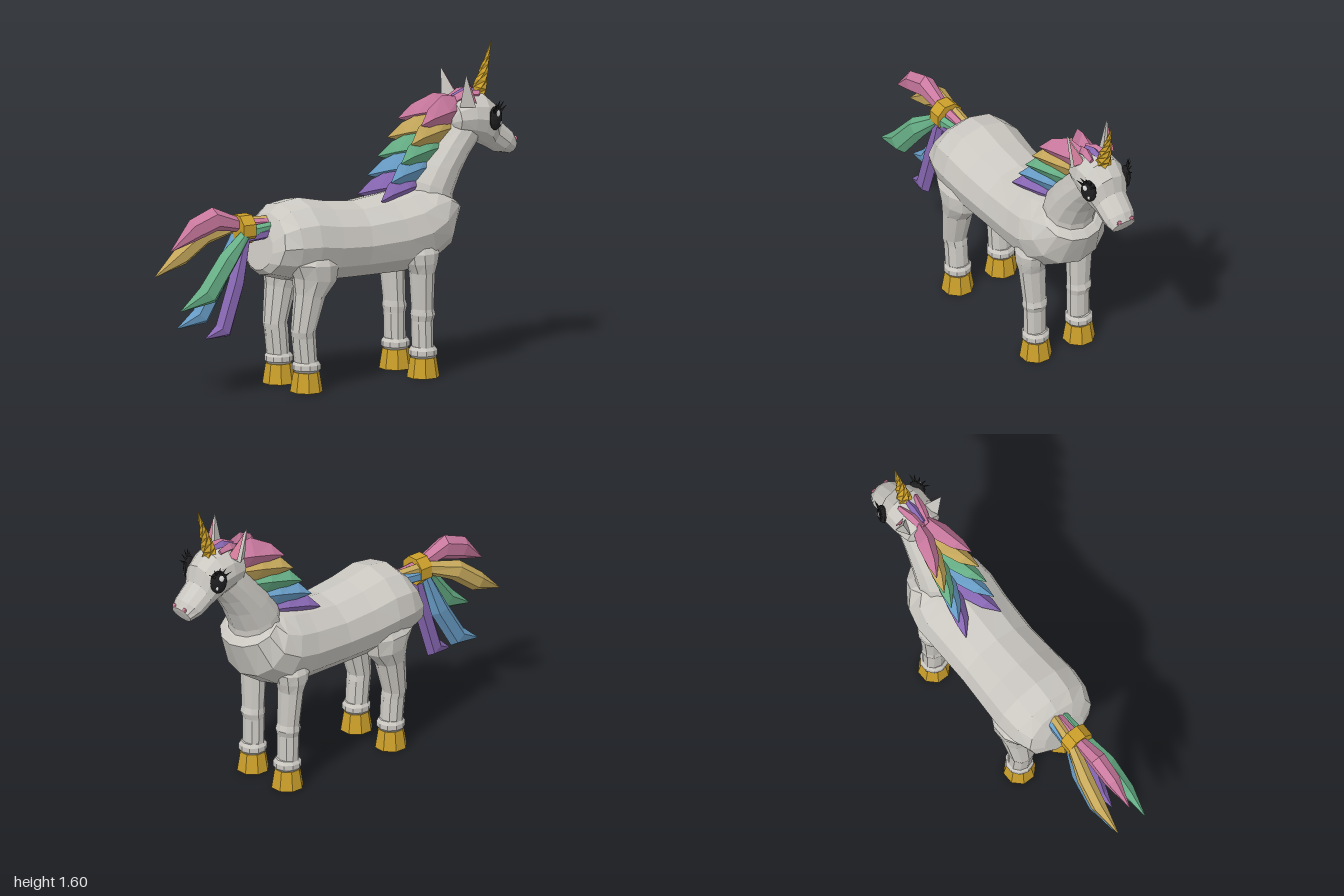
import * as THREE from 'three';

const material = (name, color, extra = {}) => {
  const m = new THREE.MeshStandardMaterial({ color, flatShading: true, ...extra });
  m.name = name;
  return m;
};

// Closed loft along z-symmetric sections: [topX, topY, bottomX, bottomY, halfWidth, centreZ]
function loft(rings, sides) {
  const at = (r, i) => {
    const [ax, ay, bx, by, w, z = 0] = r;
    const t = (i / sides) * Math.PI * 2, c = Math.cos(t);
    return new THREE.Vector3((ax + bx) / 2 + (ax - bx) / 2 * c, (ay + by) / 2 + (ay - by) / 2 * c, z + w * Math.sin(t));
  };
  const mid = ([ax, ay, bx, by, , z = 0]) => new THREE.Vector3((ax + bx) / 2, (ay + by) / 2, z);
  const tris = [];
  const first = rings[0], last = rings[rings.length - 1];
  for (let i = 0; i < sides; i++) {
    for (let k = 0; k < rings.length - 1; k++) {
      const a = at(rings[k], i), b = at(rings[k], i + 1), c = at(rings[k + 1], i + 1), d = at(rings[k + 1], i);
      tris.push([a, b, c], [a, c, d]);
    }
    tris.push([mid(first), at(first, i + 1), at(first, i)], [mid(last), at(last, i), at(last, i + 1)]);
  }
  return solid(tris);
}

// Triangle list to geometry, turned so that the faces look outwards
function solid(tris) {
  const o = tris[0][0];
  let volume = 0;
  for (const [a, b, c] of tris) {
    volume += a.clone().sub(o).dot(b.clone().sub(o).cross(c.clone().sub(o)));
  }
  const pts = tris.flatMap(([a, b, c]) => (volume < 0 ? [a, c, b] : [a, b, c]));
  const g = new THREE.BufferGeometry().setFromPoints(pts);
  g.computeVertexNormals();
  return g;
}

export function createModel() {
  const coat = material('coat grey', 0xcbc8c2);
  const gold = material('gold', 0xcb9f2a);
  const pink = material('hair pink', 0xcb7aa0);
  const yellow = material('hair yellow', 0xc8aa5c);
  const green = material('hair green', 0x68b188);
  const blue = material('hair blue', 0x6a9fc9);
  const purple = material('hair purple', 0x8a69b6);
  const black = material('eye black', 0x1e1e20, { side: THREE.DoubleSide });
  const white = material('eye white', 0xf0f0f0);
  const rose = material('inner ear rose', 0xd77f9c, { side: THREE.DoubleSide });

  const model = new THREE.Group();
  const add = (name, geometry, mat, parent = model) => {
    const mesh = new THREE.Mesh(geometry, mat);
    mesh.name = name;
    parent.add(mesh);
    return mesh;
  };

  // Barrel, from rump to chest
  add('body', loft([
    [-0.44, 0.80, -0.48, 0.60, 0.12], [-0.40, 0.875, -0.46, 0.575, 0.19],
    [-0.35, 0.92, -0.34, 0.54, 0.225], [-0.24, 0.935, -0.24, 0.52, 0.235],
    [-0.10, 0.905, -0.12, 0.51, 0.225], [0.07, 0.885, 0.05, 0.507, 0.215],
    [0.24, 0.905, 0.30, 0.505, 0.22], [0.33, 0.92, 0.46, 0.535, 0.228],
    [0.39, 0.925, 0.59, 0.62, 0.21], [0.42, 0.925, 0.66, 0.80, 0.16],
    [0.43, 0.925, 0.63, 0.835, 0.135],
  ], 12), coat);

  add('neck', loft([
    [0.37, 0.89, 0.62, 0.80, 0.135], [0.39, 0.96, 0.625, 0.87, 0.13],
    [0.45, 1.04, 0.67, 0.97, 0.12], [0.53, 1.13, 0.72, 1.05, 0.108],
    [0.62, 1.23, 0.78, 1.12, 0.095],
  ], 12), coat);

  add('head', loft([
    [0.61, 1.26, 0.62, 1.18, 0.06], [0.635, 1.32, 0.645, 1.15, 0.10],
    [0.72, 1.355, 0.72, 1.12, 0.118], [0.80, 1.35, 0.77, 1.10, 0.12],
    [0.87, 1.29, 0.80, 1.085, 0.112], [0.89, 1.21, 0.83, 1.07, 0.09],
    [0.97, 1.14, 0.88, 1.04, 0.083], [0.99, 1.10, 0.95, 1.025, 0.065],
    [0.985, 1.085, 0.96, 1.035, 0.04],
  ], 12), coat);

  // Twisted horn
  const hornShape = new THREE.ConeGeometry(0.042, 0.28, 6, 7).toNonIndexed();
  const p = hornShape.attributes.position, v = new THREE.Vector3(), up = new THREE.Vector3(0, 1, 0);
  for (let i = 0; i < p.count; i++) {
    v.fromBufferAttribute(p, i);
    v.applyAxisAngle(up, v.y * 14);
    p.setXYZ(i, v.x, v.y, v.z);
  }
  hornShape.computeVertexNormals();
  const horn = add('horn', hornShape, gold);
  horn.position.set(0.828, 1.461, 0);
  horn.rotation.z = -0.29;

  for (const s of [1, -1]) {
    const side = new THREE.Group();
    side.name = s > 0 ? 'nearSide' : 'farSide';
    model.add(side);
    const put = (name, geometry, mat) => add(name, geometry, mat, side);
    const P = (x, y, z) => new THREE.Vector3(x, y, z * s);

    // Legs, with fetlock rings and hooves
    const z = 0.127 * s;
    put('frontLeg', loft([
      [0.45, 0.66, 0.31, 0.66, 0.06, 0.14 * s], [0.47, 0.62, 0.29, 0.62, 0.08, 0.142 * s],
      [0.46, 0.57, 0.30, 0.57, 0.078, 0.142 * s], [0.445, 0.52, 0.325, 0.52, 0.072, 0.138 * s],
      [0.445, 0.34, 0.34, 0.34, 0.062, 0.13 * s], [0.455, 0.31, 0.335, 0.31, 0.066, 0.13 * s],
      [0.445, 0.28, 0.34, 0.28, 0.06, z], [0.445, 0.10, 0.345, 0.10, 0.06, z],
    ], 10), coat);
    put('rearLeg', loft([
      [-0.13, 0.67, -0.32, 0.67, 0.07, 0.14 * s], [-0.10, 0.62, -0.38, 0.64, 0.098, 0.137 * s],
      [-0.115, 0.54, -0.345, 0.57, 0.095, 0.135 * s], [-0.18, 0.465, -0.335, 0.49, 0.078, 0.135 * s],
      [-0.23, 0.30, -0.35, 0.30, 0.064, 0.13 * s], [-0.225, 0.27, -0.345, 0.27, 0.061, z],
      [-0.215, 0.10, -0.325, 0.10, 0.06, z],
    ], 10), coat);
    for (const [leg, x] of [['front', 0.398], ['rear', -0.27]]) {
      const disc = (y, r) => [x + r, y, x - r, y, r, z];
      put(leg + 'Fetlock', loft([disc(0.095, 0.058), disc(0.11, 0.07), disc(0.135, 0.07), disc(0.152, 0.058)], 10), coat);
      const hoof = put(leg + 'Hoof', new THREE.CylinderGeometry(0.065, 0.081, 0.098, 8).toNonIndexed(), gold);
      hoof.geometry.rotateY(Math.PI / 8);
      hoof.position.set(x, 0.049, z);
    }

    // Ear shell with a rose inside
    const tip = P(0.65, 1.467, 0.118), outer = P(0.70, 1.30, 0.128), inner = P(0.715, 1.31, 0.05), back = P(0.635, 1.30, 0.085);
    put('ear', solid([[tip, outer, inner], [tip, inner, back], [tip, back, outer], [outer, back, inner]]), coat);
    put('innerEar', solid([[P(0.665, 1.445, 0.114), P(0.712, 1.315, 0.118), P(0.724, 1.315, 0.06)]]), rose);

    // Eye with highlights and fanned lashes
    const eye = new THREE.Group();
    eye.name = 'eye';
    eye.position.set(0.825, 1.23, 0.108 * s);
    eye.rotation.y = 0.4 * s;
    side.add(eye);
    const ball = (name, x, y, zz, rx, ry, rz, mat) => {
      const m = add(name, new THREE.SphereGeometry(1, 12, 8), mat, eye);
      m.scale.set(rx, ry, rz);
      m.position.set(x, y, zz * s);
    };
    ball('eyeball', 0, 0, 0, 0.043, 0.06, 0.026, black);
    ball('largeHighlight', -0.008, 0.027, 0.022, 0.014, 0.017, 0.004, white);
    ball('smallHighlight', 0.014, -0.024, 0.022, 0.008, 0.01, 0.004, white);
    for (let i = 0; i < 5; i++) {
      const t = -0.85 + i * 0.425;
      const lash = add('eyelash', new THREE.ConeGeometry(0.008, 0.05, 4), black, eye);
      lash.position.set(Math.sin(t) * 0.055, Math.cos(t) * 0.07, 0.018 * s);
      lash.rotation.set(0.45 * s, 0, -t);
    }

    const nostril = put('nostril', new THREE.SphereGeometry(0.014, 8, 6), rose);
    nostril.scale.set(0.5, 0.8, 1);
    nostril.position.set(0.983, 1.102, 0.037 * s);

    // Mane locks stepping down the crest
    [pink, yellow, green, blue, purple].forEach((mat, i) => {
      const dx = -0.0575 * i, dy = -0.0875 * i;
      put('maneLock', loft([
        [0.67, 1.34, 0.66, 1.22, 0.03, 0.02], [0.56, 1.36, 0.59, 1.20, 0.05, 0.04],
        [0.46, 1.31, 0.475, 1.215, 0.035, 0.075], [0.40, 1.24, 0.40, 1.235, 0.002, 0.108],
      ].map(([ax, ay, bx, by, w, c]) => [ax + dx, ay + dy, bx + dx, by + dy, w, c * s]), 4), mat);
    });
    put('forelock', loft([
      [0.62, 1.34, 0.63, 1.28, 0.02, 0.015 * s], [0.69, 1.372, 0.69, 1.32, 0.025, 0.03 * s],
      [0.77, 1.365, 0.76, 1.33, 0.012, 0.05 * s],
    ], 4), pink);
  }
  add('centreForelock', loft([
    [0.64, 1.35, 0.64, 1.30, 0.015], [0.71, 1.378, 0.71, 1.33, 0.02], [0.785, 1.365, 0.77, 1.33, 0.01],
  ], 4), purple);

  // Tail: five strands gathered by a band
  const strands = [
    [pink, [[-0.40, 0.85, -0.40, 0.79, 0.025, 0], [-0.56, 0.865, -0.56, 0.80, 0.03, 0], [-0.73, 0.94, -0.70, 0.82, 0.045, 0],
      [-0.86, 0.89, -0.81, 0.785, 0.04, 0], [-0.97, 0.745, -0.965, 0.743, 0.003, 0]]],
    [yellow, [[-0.40, 0.86, -0.40, 0.81, 0.025, -0.02], [-0.56, 0.865, -0.56, 0.80, 0.03, -0.035], [-0.75, 0.83, -0.70, 0.74, 0.04, -0.085],
      [-0.88, 0.73, -0.82, 0.65, 0.037, -0.1], [-1.0, 0.607, -0.995, 0.604, 0.003, -0.095]]],
    [green, [[-0.40, 0.84, -0.40, 0.78, 0.02, 0.03], [-0.56, 0.83, -0.55, 0.77, 0.03, 0.035], [-0.73, 0.72, -0.64, 0.66, 0.04, 0.075],
      [-0.86, 0.57, -0.77, 0.49, 0.037, 0.095], [-0.97, 0.466, -0.965, 0.463, 0.003, 0.095]]],
    [blue, [[-0.40, 0.85, -0.40, 0.78, 0.025, -0.04], [-0.57, 0.83, -0.55, 0.77, 0.03, -0.04], [-0.70, 0.60, -0.60, 0.57, 0.038, -0.05],
      [-0.81, 0.43, -0.73, 0.36, 0.034, -0.045], [-0.90, 0.352, -0.895, 0.347, 0.003, -0.045]]],
    [purple, [[-0.40, 0.82, -0.40, 0.76, 0.03, 0.03], [-0.58, 0.80, -0.54, 0.75, 0.03, 0.03], [-0.66, 0.57, -0.57, 0.55, 0.038, 0.035],
      [-0.73, 0.36, -0.65, 0.30, 0.034, 0.035], [-0.79, 0.302, -0.785, 0.297, 0.003, 0.035]]],
  ];
  for (const [mat, rings] of strands) add('tailStrand', loft(rings, 6), mat);

  const band = add('tailBand', new THREE.CylinderGeometry(0.075, 0.075, 0.07, 8).toNonIndexed(), gold);
  band.geometry.rotateY(Math.PI / 8);
  band.rotation.z = Math.PI / 2;
  band.position.set(-0.555, 0.815, 0);

  return model;
}
